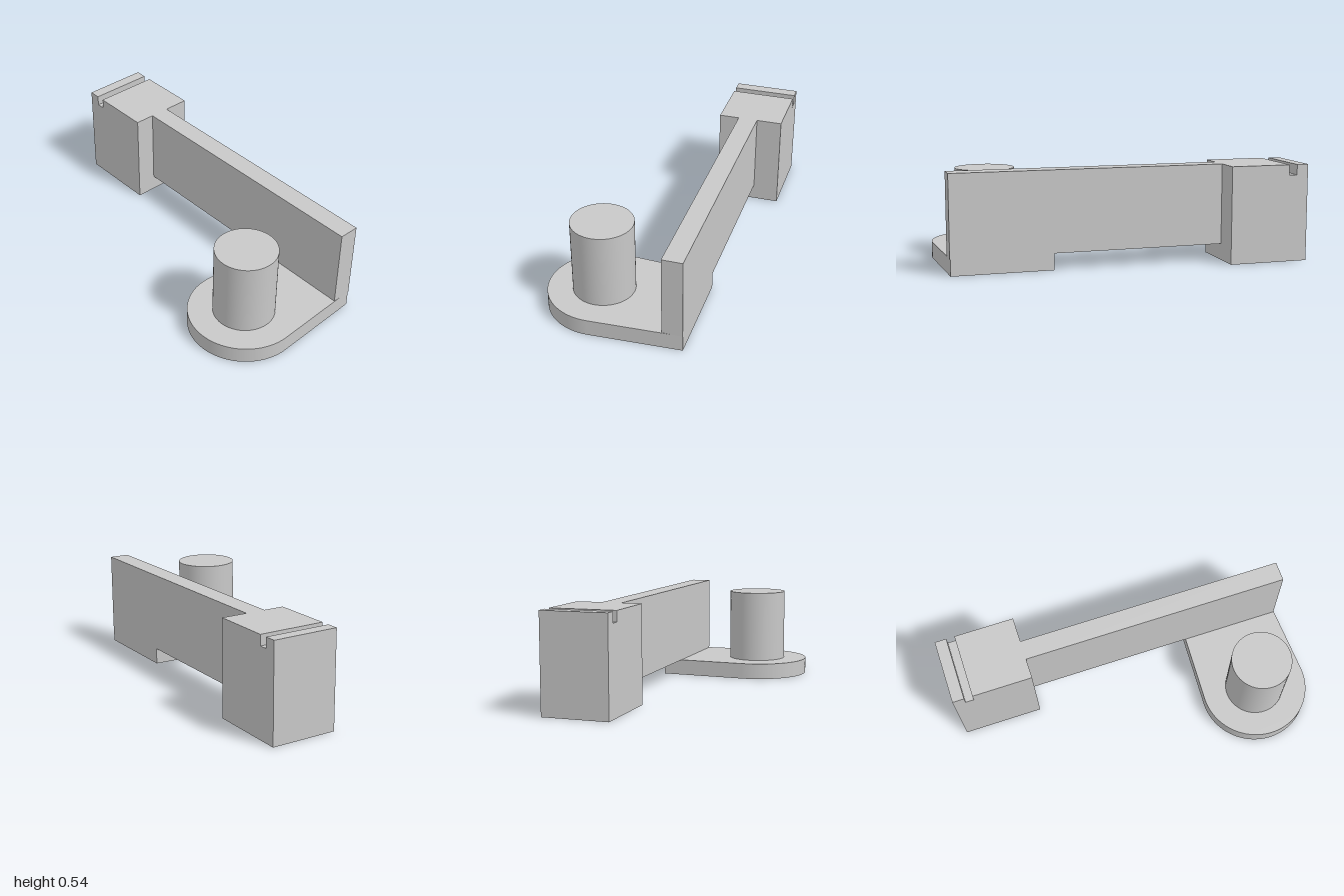
import * as THREE from 'three';
import { toCreasedNormals } from 'three/addons/utils/BufferGeometryUtils.js';

export function createModel() {
  const group = new THREE.Group();
  const grey = new THREE.MeshStandardMaterial({ color: 0xc8c8c8 });
  grey.name = 'lightGrey';

  const add = (name, geometry) => {
    const mesh = new THREE.Mesh(geometry, grey);
    mesh.name = name;
    group.add(mesh);
    return mesh;
  };

  // End block: front profile with a slot cut in its top, extruded along z
  const profile = new THREE.Shape([
    [-1, 0], [-0.547, 0], [-0.547, 0.543], [-0.887, 0.543], [-0.887, 0.485],
    [-0.934, 0.485], [-0.934, 0.543], [-1, 0.543],
  ].map(([x, y]) => new THREE.Vector2(x, y)));
  add('endBlock', new THREE.ExtrudeGeometry(profile, { depth: 0.373, bevelEnabled: false }))
    .position.z = -0.486;

  // Thin upright arm between block and foot
  const armBottom = 0.092, armTop = 0.543, armLeft = -0.547, armRight = 0.977;
  add('arm', new THREE.BoxGeometry(armRight - armLeft, armTop - armBottom, 0.112))
    .position.set((armLeft + armRight) / 2, (armBottom + armTop) / 2, -0.284);

  // Foot: round nose with straight sides tapering towards the arm (shape y = -z)
  const cx = 0.695, cz = 0.181, r = 0.305, taper = 0.05;
  const outline = new THREE.Shape();
  outline.moveTo(cx + 0.279, 0.34);
  outline.lineTo(cx - 0.279, 0.34);
  outline.absarc(cx, -cz, r, Math.PI - taper, Math.PI * 2 + taper, false);
  outline.closePath();
  const foot = new THREE.ExtrudeGeometry(outline, {
    depth: armBottom, bevelEnabled: false, curveSegments: 48,
  });
  foot.rotateX(-Math.PI / 2);
  add('foot', toCreasedNormals(foot, 0.5));

  // Upright pin on the foot
  add('pin', new THREE.CylinderGeometry(0.169, 0.169, 0.417, 64))
    .position.set(cx, armBottom + 0.2085, cz);

  return group;
}
